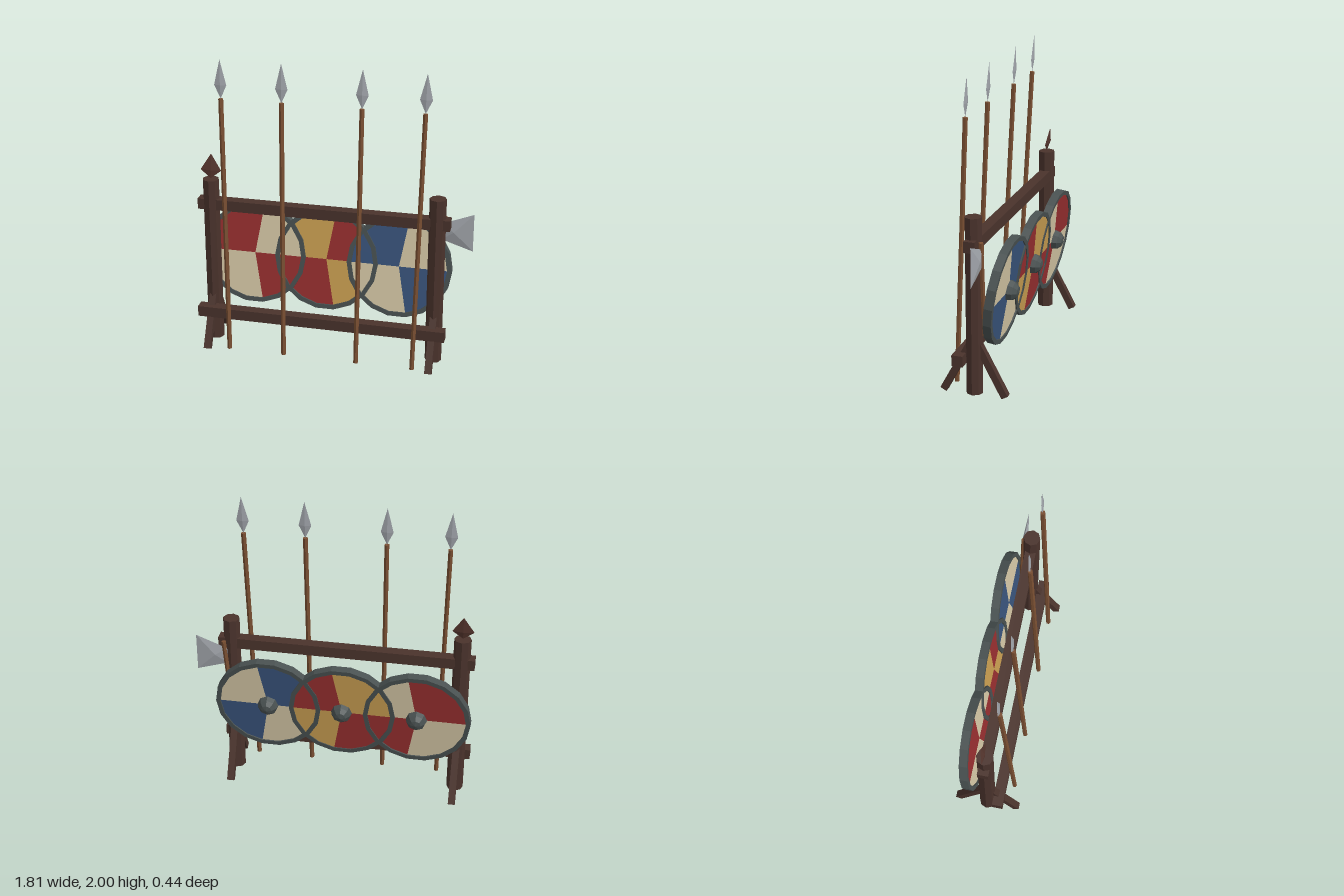
import * as THREE from 'three';
import { ConvexGeometry } from 'three/addons/geometries/ConvexGeometry.js';

const UP = new THREE.Vector3(0, 1, 0);

export function createModel() {
  const root = new THREE.Group();
  root.name = 'weaponRack';

  const mat = (name, color) => {
    const m = new THREE.MeshStandardMaterial({ color, flatShading: true });
    m.name = name;
    return m;
  };
  const wood = mat('dark wood', 0x4a332c);
  const carved = mat('carved wood', 0x56362e);
  const shaftWood = mat('shaft wood', 0x7a4f32);
  const steel = mat('steel', 0xa2a6ac);
  const iron = mat('dark iron', 0x495151);
  const red = mat('red paint', 0x982f30);
  const cream = mat('cream paint', 0xd6c8a6);
  const yellow = mat('yellow paint', 0xcba052);
  const blue = mat('blue paint', 0x39547c);

  const add = (name, geo, material, parent = root, x = 0, y = 0, z = 0) => {
    const m = new THREE.Mesh(geo, material);
    m.name = name;
    m.position.set(x, y, z);
    parent.add(m);
    return m;
  };

  // Group at point a whose y axis points to b
  const alongLine = (name, a, b) => {
    const g = new THREE.Group();
    g.name = name;
    g.position.copy(a);
    const dir = b.clone().sub(a);
    g.quaternion.setFromUnitVectors(UP, dir.clone().normalize());
    root.add(g);
    return { g, len: dir.length() };
  };

  // Flat four-sided leaf blade
  const leafBlade = (halfWidth, widestY, height, thin) =>
    new THREE.LatheGeometry([
      new THREE.Vector2(0, 0),
      new THREE.Vector2(halfWidth, widestY),
      new THREE.Vector2(0, height),
    ], 4).scale(1, 1, thin);

  // Posts with splayed feet in front and behind
  for (const x of [-0.82, 0.68]) {
    add('post', new THREE.CylinderGeometry(0.055, 0.055, 1.15, 8), wood, root, x, 0.59, 0);
    for (const s of [-1, 1]) {
      const brace = add('footBrace', new THREE.BoxGeometry(0.045, 0.41, 0.045), wood, root, x, 0.193, s * 0.105);
      brace.rotation.x = -s * 0.49;
    }
  }

  // Rails
  add('upperRail', new THREE.BoxGeometry(1.67, 0.072, 0.072), wood, root, -0.07, 0.995, 0);
  add('lowerRail', new THREE.BoxGeometry(1.67, 0.072, 0.072), wood, root, -0.07, 0.245, 0.085);

  // Finial on one post
  const finial = add('finial', leafBlade(0.07, 0.055, 0.165, 0.14), carved, root, -0.82, 1.168, 0);
  finial.rotation.x = -0.14;

  // Spears leaning on the rack, slightly fanned
  for (const [x0, x1] of [[-0.677, -0.708], [-0.302, -0.313], [0.19, 0.2], [0.565, 0.596]]) {
    const { g, len } = alongLine('spear',
      new THREE.Vector3(x0, 0.012, 0.161), new THREE.Vector3(x1, 1.745, 0.075));
    add('spearShaft', new THREE.CylinderGeometry(0.016, 0.016, len, 6), shaftWood, g, 0, len / 2, 0);
    add('spearHead', leafBlade(0.04, 0.088, 0.252, 0.2), steel, g, 0, len, 0);
  }

  // Axe hanging behind the post
  const axe = alongLine('axe',
    new THREE.Vector3(0.67, 0.4, -0.062), new THREE.Vector3(0.722, 1.02, -0.062));
  add('axeHaft', new THREE.CylinderGeometry(0.015, 0.015, axe.len, 6), shaftWood, axe.g, 0, axe.len / 2, 0);
  const headPoints = [
    [0.7, 0.97, 0], [0.7, 0.86, 0], [0.905, 1.05, 0], [0.905, 0.795, 0],
    [0.78, 0.92, 0.016], [0.78, 0.92, -0.016],
  ].map(p => new THREE.Vector3(...p));
  add('axeHead', new ConvexGeometry(headPoints), steel, root, 0, 0, -0.062);

  // Round shields: 18-sided iron rim, four painted fields, domed boss at the back
  const SIDES = 18;
  const ring = r => Array.from({ length: SIDES }, (_, i) => {
    const a = (i / SIDES) * Math.PI * 2;
    return new THREE.Vector2(Math.cos(a) * r, Math.sin(a) * r);
  });
  const rimShape = new THREE.Shape(ring(0.35));
  rimShape.holes.push(new THREE.Path(ring(0.32)));
  const rimGeo = new THREE.ExtrudeGeometry(rimShape, { depth: 0.054, bevelEnabled: false });
  rimGeo.translate(0, 0, -0.027);
  const bossGeo = new THREE.SphereGeometry(0.07, 8, 3, 0, Math.PI * 2, 0, Math.PI / 2);
  bossGeo.rotateX(-Math.PI / 2);
  const fields = [[0, 4], [4, 5], [9, 5], [14, 4]]; // first segment, segment count
  const step = (Math.PI * 2) / SIDES;

  const shield = (x, shift, colorA, colorB) => {
    const g = new THREE.Group();
    g.name = 'shield';
    g.position.set(x, 0.615, -0.119);
    g.rotation.x = -0.13;
    root.add(g);
    add('shieldRim', rimGeo, iron, g);
    fields.forEach(([first, count], i) => {
      const geo = new THREE.CylinderGeometry(0.325, 0.325, 0.036, count, 1, false,
        first * step + Math.PI / 2, count * step);
      geo.rotateX(Math.PI / 2);
      add('shieldField', geo, i % 2 ? colorB : colorA, g, 0, 0, shift);
    });
    add('shieldBoss', bossGeo, iron, g, 0, 0, -0.017);
  };
  shield(-0.56, 0, cream, red);
  shield(-0.07, -0.003, red, yellow);
  shield(0.42, 0, cream, blue);

  return root;
}
